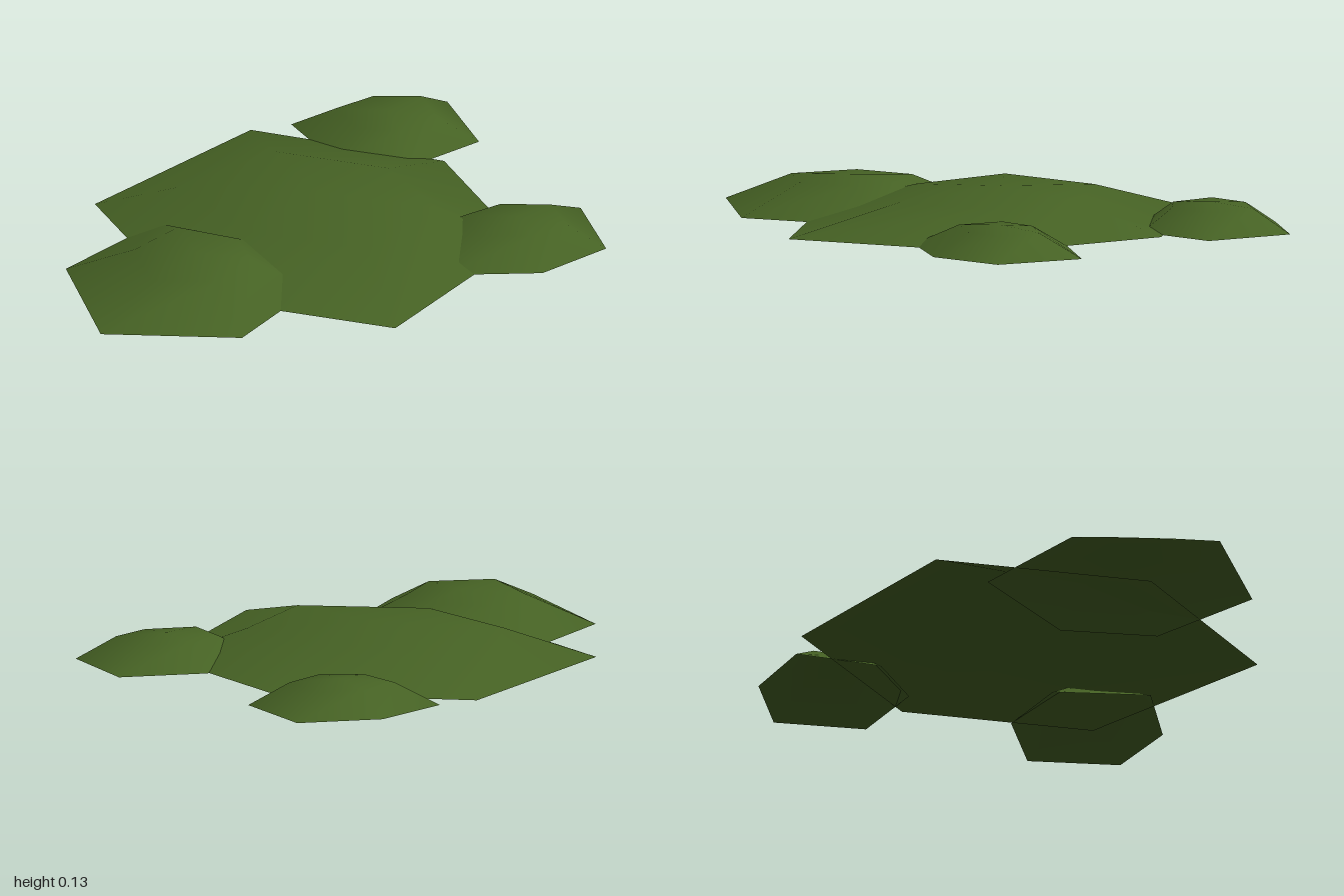
import * as THREE from 'three';

const green = new THREE.MeshStandardMaterial({ color: 0x466224, side: THREE.DoubleSide });
green.name = 'mossGreen';

// Low dome, open below: ground rim -> raised shoulder ring -> single peak, smooth shaded
function mossDome({ name, rim, peak, height, shoulder, spread }) {
  const [px, pz] = peak;
  const n = rim.length;
  const positions = [];
  const index = [];
  for (const [x, z] of rim) positions.push(x, 0, z);
  for (const [x, z] of rim) {
    positions.push(px + (x - px) * spread[0], shoulder, pz + (z - pz) * spread[1]);
  }
  positions.push(px, height, pz);
  for (let i = 0; i < n; i++) {
    const j = (i + 1) % n;
    // rim corners run clockwise seen from above
    index.push(i, n + i, j, j, n + i, n + j);
    index.push(n + i, 2 * n, n + j);
  }
  const geometry = new THREE.BufferGeometry();
  geometry.setAttribute('position', new THREE.Float32BufferAttribute(positions, 3));
  geometry.setIndex(index);
  geometry.computeVertexNormals();
  const mesh = new THREE.Mesh(geometry, green);
  mesh.name = name;
  return mesh;
}

// Rim corners as [x, z]
const domes = [
  {
    name: 'mainMossPatch',
    rim: [[-0.91, 0.02], [-0.49, -0.65], [0.22, -0.55], [0.61, 0.015], [0.31, 0.75], [-0.47, 0.655]],
    peak: [-0.12, 0.02], height: 0.13, shoulder: 0.105, spread: [0.59, 0.48],
  },
  {
    name: 'frontMossPatch',
    rim: [[-0.91, 0.53], [-0.67, 0.12], [-0.205, 0.21], [-0.035, 0.51], [-0.2, 0.93], [-0.69, 1]],
    peak: [-0.44, 0.55], height: 0.122, shoulder: 0.107, spread: [0.47, 0.48],
  },
  {
    name: 'sideMossPatch',
    rim: [[0.26, 0], [0.45, -0.23], [0.76, -0.29], [0.91, 0], [0.73, 0.23], [0.41, 0.31]],
    peak: [0.59, 0], height: 0.095, shoulder: 0.08, spread: [0.56, 0.48],
  },
  {
    name: 'backMossPatch',
    rim: [[-0.36, -0.72], [-0.16, -0.94], [0.14, -1], [0.31, -0.72], [0.11, -0.48], [-0.16, -0.48]],
    peak: [-0.01, -0.71], height: 0.095, shoulder: 0.08, spread: [0.55, 0.55],
  },
];

export function createModel() {
  const model = new THREE.Group();
  model.name = 'mossPatches';
  for (const dome of domes) model.add(mossDome(dome));
  return model;
}
